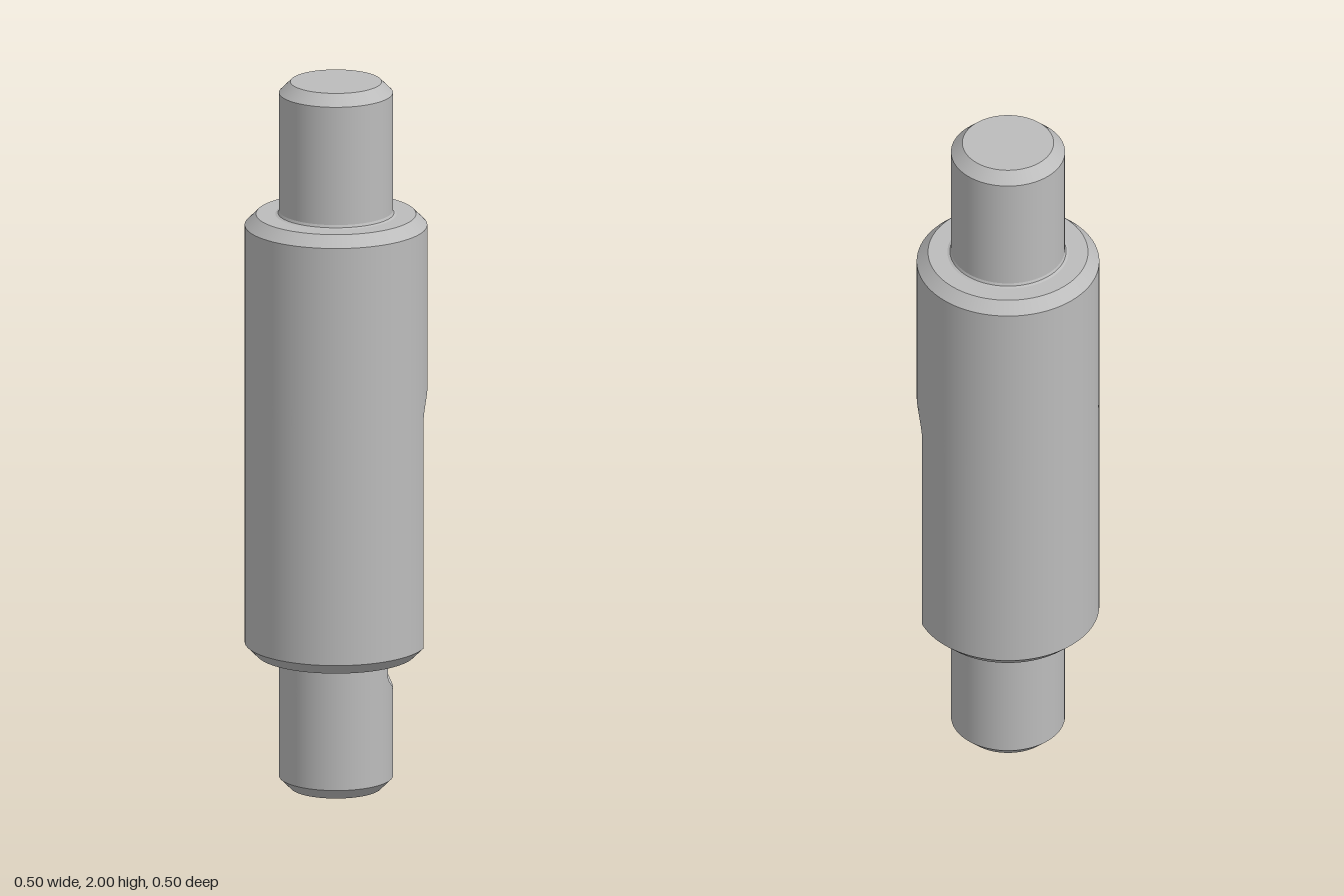
import * as THREE from 'three';

const STEPS = 96;
const SLOT = { half: 0.092, floor: 0.137, low: 0.377, high: 1.038, turn: 32 };

// Turned outline as [radius, height], bottom to top
const PROFILE = [
  [0, 0], [0.125, 0], [0.156, 0.031],
  [0.156, 0.37], [0.159, 0.377], [0.166, 0.38],   // lower fillet
  [0.219, 0.38], [0.25, 0.411], [0.25, 1.594], [0.219, 1.625],
  [0.166, 1.625], [0.159, 1.628], [0.156, 1.635], // upper fillet
  [0.156, 1.969], [0.125, 2], [0, 2],
];

// Heights that resolve the rounded slot ends
const slotHeights = [];
for (let k = 0; k <= 14; k++) slotHeights.push(SLOT.low - SLOT.half * Math.cos(k * Math.PI / 28));
for (let k = 0; k <= 14; k++) slotHeights.push(SLOT.high + SLOT.half * Math.sin(k * Math.PI / 28));

// Half width of the slot where it meets radius r at height y
function slotWidth(r, y) {
  const d = Math.max(SLOT.low - y, y - SLOT.high, 0);
  const w = Math.sqrt(Math.max(0, SLOT.half ** 2 - d * d));
  return Math.min(w, Math.sqrt(Math.max(0, r * r - SLOT.floor ** 2)));
}

// Surface through rows of points, all rows having equal length
function grid(rows, normals) {
  const cols = rows[0].length, index = [];
  for (let i = 0; i < rows.length - 1; i++) {
    for (let j = 0; j < cols - 1; j++) {
      const a = i * cols + j, b = a + cols;
      index.push(a, b, b + 1, a, b + 1, a + 1);
    }
  }
  const g = new THREE.BufferGeometry();
  g.setAttribute('position', new THREE.Float32BufferAttribute(rows.flat(2), 3));
  g.setIndex(index);
  if (normals) g.setAttribute('normal', new THREE.Float32BufferAttribute(normals, 3));
  else g.computeVertexNormals();
  return g;
}

// Profile segment with extra samples at the slot heights
function sampleSegment([r0, y0], [r1, y1]) {
  const mid = slotHeights.filter(y => y > y0 + 1e-5 && y < y1 - 1e-5)
    .map(y => [r0 + (r1 - r0) * (y - y0) / (y1 - y0), y]);
  return [[r0, y0], ...mid, [r1, y1]];
}

// Turned skin of one segment, leaving the slot open
function skin(samples) {
  const [r0, y0] = samples[0], [r1, y1] = samples[samples.length - 1];
  const len = Math.hypot(r1 - r0, y1 - y0), nr = (y1 - y0) / len, ny = (r0 - r1) / len;
  const normals = [];
  const rows = samples.map(([r, y]) => {
    const a = r > 0 ? Math.asin(slotWidth(r, y) / r) : 0, row = [];
    for (let j = 0; j <= STEPS; j++) {
      const p = a + (2 * Math.PI - 2 * a) * j / STEPS;
      row.push([r * Math.cos(p), y, r * Math.sin(p)]);
      normals.push(nr * Math.cos(p), ny, nr * Math.sin(p));
    }
    return row;
  });
  return grid(rows, normals);
}

export function createModel() {
  const model = new THREE.Group();
  const steel = new THREE.MeshStandardMaterial({ color: 0xbcbcbc });
  steel.name = 'steel grey';
  const shaft = new THREE.Group();
  shaft.name = 'shaft';
  const add = (name, geometry) => {
    const mesh = new THREE.Mesh(geometry, steel);
    mesh.name = name;
    shaft.add(mesh);
  };

  // Turned surfaces
  const names = ['bottomFace', 'bottomChamfer', 'lowerJournal', 'lowerFillet', 'lowerFillet',
    'lowerShoulder', 'bodyLowerChamfer', 'body', 'bodyUpperChamfer', 'upperShoulder',
    'upperFillet', 'upperFillet', 'upperJournal', 'topChamfer', 'topFace'];
  const slotRows = [];
  names.forEach((name, i) => {
    const samples = sampleSegment(PROFILE[i], PROFILE[i + 1]);
    add(name, skin(samples));
    slotRows.push(...samples.filter(([, y]) =>
      y > slotHeights[0] - 1e-5 && y < slotHeights[slotHeights.length - 1] + 1e-5));
  });

  // Keyway walls and flat floor
  for (const side of [-1, 1]) {
    add('keywayWall', grid(slotRows.map(([r, y]) => {
      const w = slotWidth(r, y);
      const outer = [Math.sqrt(r * r - w * w), y, side * w], inner = [SLOT.floor, y, side * w];
      return side < 0 ? [outer, inner] : [inner, outer];
    })));
  }
  add('keywayFloor', grid(slotRows.map(([r, y]) => {
    const w = slotWidth(r, y);
    return [[SLOT.floor, y, -w], [SLOT.floor, y, w]];
  })));

  shaft.rotation.y = THREE.MathUtils.degToRad(SLOT.turn);
  model.add(shaft);
  return model;
}
